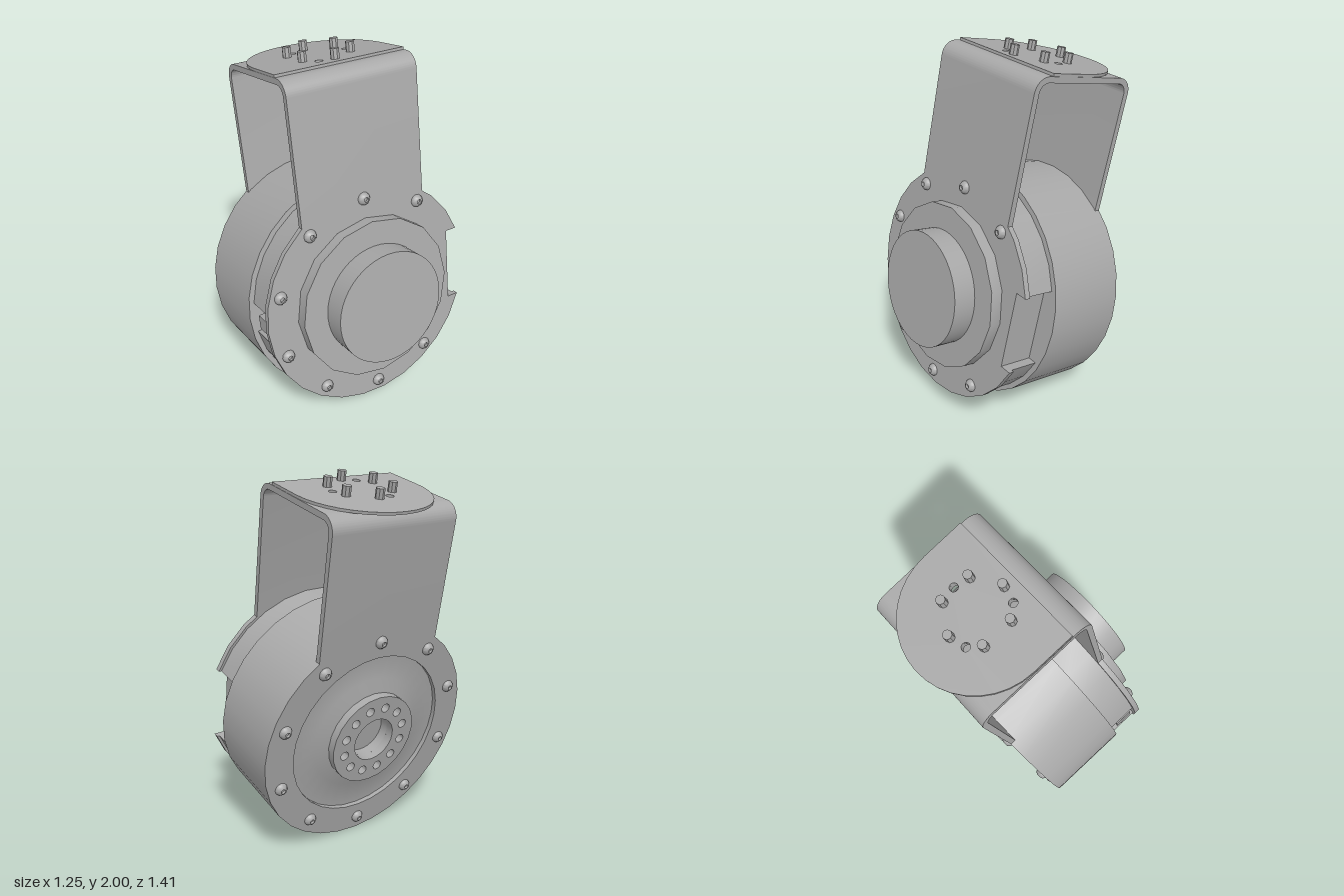
import * as THREE from 'three';
import { toCreasedNormals } from 'three/addons/utils/BufferGeometryUtils.js';

const FRONT = -0.02, REAR = -0.66, MID = (FRONT + REAR) / 2; // drive axis is local z
const HALF_W = 0.368, TOP = 1.235, THICK = 0.03;

export function createModel() {
  const grey = new THREE.MeshStandardMaterial({ color: 0xa8a8a8 });
  grey.name = 'plain grey';
  const model = new THREE.Group();
  model.name = 'actuatorWithBracket';

  const add = (name, geometry, parent = model) => {
    const mesh = new THREE.Mesh(toCreasedNormals(geometry, 0.6), grey);
    mesh.name = name;
    parent.add(mesh);
    return mesh;
  };
  const lathe = (pts, sides) =>
    new THREE.LatheGeometry(pts.map(p => new THREE.Vector2(...p)), sides).rotateX(Math.PI / 2);
  const extrude = (shape, depth, steps = 12) =>
    new THREE.ExtrudeGeometry(shape, { depth, bevelEnabled: false, curveSegments: steps });
  const circleHole = (x, y, r) => new THREE.Path().absarc(x, y, r, 0, Math.PI * 2, true);

  // Disc outline with rectangular notches in its +x and -x sides
  const notchedDisc = (r, rightHalf, rightFloor, leftHalf, leftFloor) => {
    const pts = [];
    const a0 = Math.asin(rightHalf / r);
    const a1 = Math.PI - Math.asin(leftHalf / r);
    const arc = (from, to) => {
      for (let i = 0; i <= 12; i++) {
        const a = from + (to - from) * i / 12;
        pts.push(new THREE.Vector2(r * Math.cos(a), r * Math.sin(a)));
      }
    };
    arc(a0, a1);
    if (leftHalf) pts.push(new THREE.Vector2(-leftFloor, leftHalf), new THREE.Vector2(-leftFloor, -leftHalf));
    arc(2 * Math.PI - a1, 2 * Math.PI - a0);
    pts.push(new THREE.Vector2(rightFloor, -rightHalf), new THREE.Vector2(rightFloor, rightHalf));
    return new THREE.Shape(pts);
  };

  // Drum with a shallow recess and hub seat at the rear
  add('drum', lathe([
    [0, -0.61], [0.125, -0.61], [0.125, -0.665], [0.27, -0.665], [0.33, -0.635], [0.47, -0.635],
    [0.47, REAR], [0.635, REAR], [0.635, -0.21], [0, -0.21]], 32));

  // Front housing: notched spacer behind a thin face plate
  const spacer = add('spacer', extrude(notchedDisc(0.607, 0.21, 0.52, 0.085, 0.52), 0.165));
  spacer.position.z = -0.21;
  const plate = add('facePlate', extrude(notchedDisc(0.622, 0.21, 0.52, 0, 0), 0.03));
  plate.position.z = -0.05;
  const socket = add('sideConnector', new THREE.BoxGeometry(0.08, 0.08, 0.1));
  socket.position.set(-0.56, -0.01, -0.12);

  // Stepped output boss
  add('frontRing', lathe([[0, FRONT], [0.45, FRONT], [0.45, 0.045], [0, 0.045]], 16));
  add('frontBoss', lathe([[0, 0.04], [0.312, 0.04], [0.312, 0.17], [0, 0.17]], 48));

  // Rear hub with a bore and a ring of twelve holes
  const hubShape = new THREE.Shape().absarc(0, 0, 0.26, 0, Math.PI * 2);
  hubShape.holes.push(circleHole(0, 0, 0.125));
  for (let i = 0; i < 12; i++) {
    const a = (i + 0.5) * Math.PI / 6;
    hubShape.holes.push(circleHole(0.19 * Math.cos(a), 0.19 * Math.sin(a), 0.025));
  }
  add('rearHub', extrude(hubShape, 0.05)).position.z = -0.71;

  // Button-head screws with a hexagonal socket
  const screwGeo = lathe([[0, 0.012], [0.013, 0.012], [0.013, 0.026], [0.024, 0.021],
    [0.033, 0.009], [0.036, -0.004]].reverse(), 12);
  for (let i = 0; i < 10; i++) {
    const a = i * Math.PI / 5;
    const x = 0.558 * Math.sin(a), y = 0.558 * Math.cos(a);
    if (i !== 2 && i !== 3) add('frontScrew', screwGeo).position.set(x, y, FRONT);
    const back = add('rearScrew', screwGeo);
    back.position.set(x, y, REAR);
    back.rotation.y = Math.PI;
  }

  // Yoke bracket, centred over the drum
  const bracket = new THREE.Group();
  bracket.name = 'bracket';
  bracket.position.z = MID;
  model.add(bracket);
  const half = (FRONT - REAR) / 2, bend = 0.08, inner = half - bend;
  const armShape = new THREE.Shape();
  armShape.moveTo(half, 0.48);
  armShape.lineTo(half, TOP - bend);
  armShape.absarc(inner, TOP - bend, bend, 0, Math.PI / 2, false);
  armShape.lineTo(inner, TOP - THICK);
  armShape.absarc(inner, TOP - bend, bend - THICK, Math.PI / 2, 0, true);
  armShape.lineTo(half - THICK, 0.48);
  const armGeo = extrude(armShape, HALF_W * 2).rotateY(-Math.PI / 2).translate(HALF_W, 0, 0);
  add('frontArm', armGeo, bracket);
  add('rearArm', armGeo, bracket).rotation.y = Math.PI;

  // Bracket top and rounded mounting cap, pierced by three small holes
  const topShape = new THREE.Shape([[-HALF_W, -inner], [HALF_W, -inner], [HALF_W, inner], [-HALF_W, inner]]
    .map(p => new THREE.Vector2(...p)));
  const capShape = new THREE.Shape();
  capShape.moveTo(-0.366, -0.22);
  capShape.lineTo(0.366, -0.22);
  capShape.absarc(0, 0, 0.366, 0, Math.PI, false);
  for (const deg of [-90, 30, 150]) {
    const a = deg * Math.PI / 180;
    for (const s of [topShape, capShape])
      s.holes.push(circleHole(-0.16 * Math.sin(a), -0.16 * Math.cos(a), 0.021));
  }
  add('bracketTop', extrude(topShape, THICK, 6).rotateX(-Math.PI / 2), bracket).position.y = TOP - THICK;
  add('mountingCap', extrude(capShape, 0.014, 9).rotateX(-Math.PI / 2), bracket).position.y = TOP;

  // Mounting screws: shanks above the cap, heads below the top
  for (let i = 0; i < 6; i++) {
    const a = i * Math.PI / 3;
    const x = 0.16 * Math.sin(a), z = 0.16 * Math.cos(a);
    add('mountingPin', new THREE.CylinderGeometry(0.023, 0.023, 0.065, 8), bracket).position.set(x, TOP + 0.033, z);
    const head = add('mountingScrewHead', screwGeo, bracket);
    head.position.set(x, TOP - THICK, z);
    head.rotation.x = Math.PI / 2;
  }

  // Tilt the whole assembly into its resting pose
  const up = new THREE.Vector3(-0.17, 0.978, -0.119).normalize();
  const side = new THREE.Vector3().crossVectors(up, new THREE.Vector3(0.86, 0.204, 0.466)).normalize();
  const axis = new THREE.Vector3().crossVectors(side, up);
  model.quaternion.setFromRotationMatrix(new THREE.Matrix4().makeBasis(side, up, axis));
  model.position.set(0.31, 0.76, 0.157);
  const root = new THREE.Group();
  root.name = 'tiltedActuator';
  root.add(model);
  return root;
}
